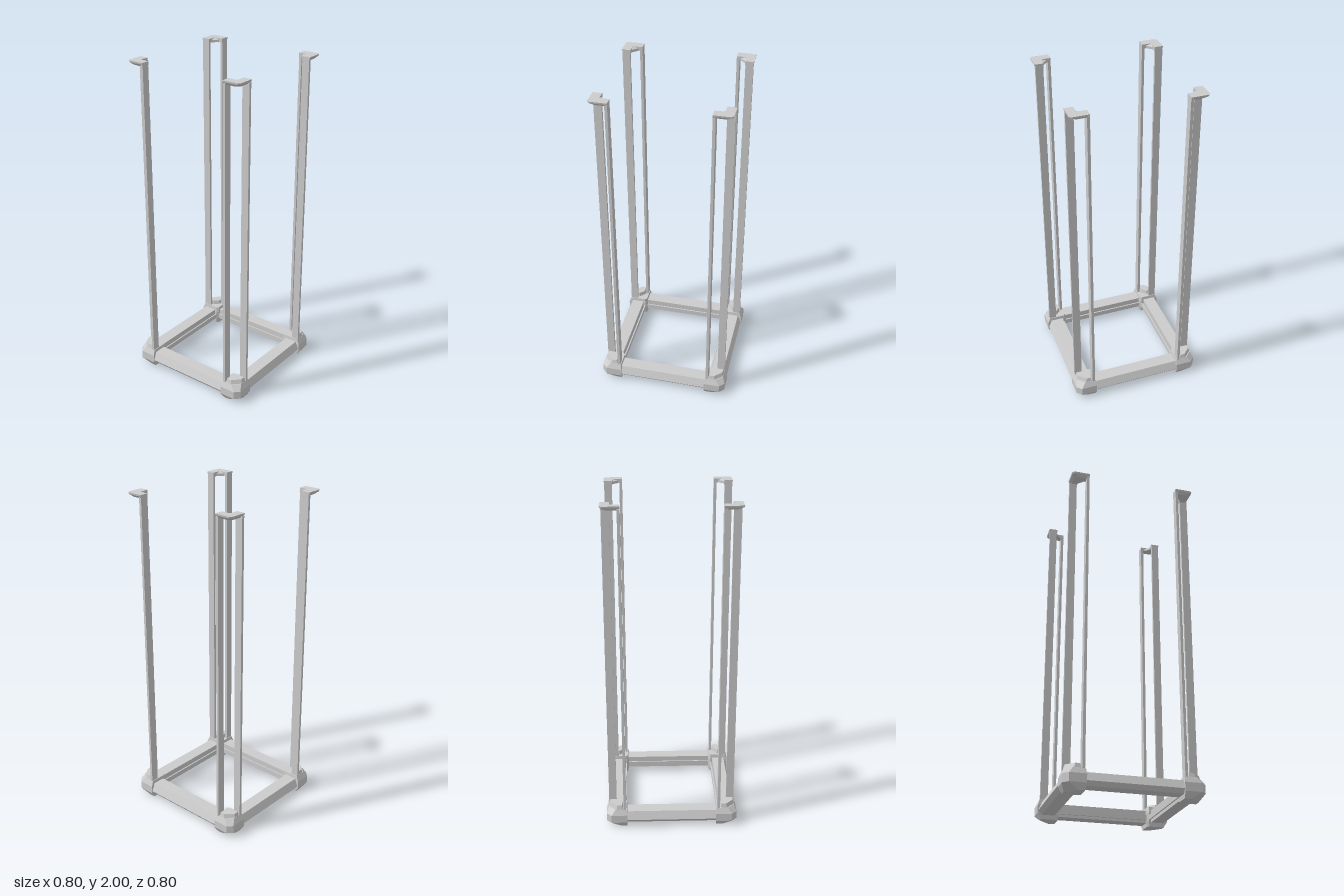
import * as THREE from 'three';

const material = new THREE.MeshStandardMaterial({ color: 0xcccccc, flatShading: true });

function part(name, geometry) {
  const mesh = new THREE.Mesh(geometry, material);
  mesh.name = name;
  return mesh;
}

// Joins stacked horizontal outlines ([x, z] points, equal counts) into a closed solid
function loft(layers) {
  const pos = [];
  const put = (y, [x, z]) => pos.push(x, y, z);
  for (let k = 0; k + 1 < layers.length; k++) {
    const [lo, hi] = [layers[k], layers[k + 1]];
    lo.points.forEach((a, i) => {
      const j = (i + 1) % lo.points.length;
      put(lo.y, a); put(hi.y, hi.points[i]); put(lo.y, lo.points[j]);
      put(lo.y, lo.points[j]); put(hi.y, hi.points[i]); put(hi.y, hi.points[j]);
    });
  }
  const [bottom, top] = [layers[0], layers[layers.length - 1]];
  for (const [layer, flip] of [[bottom, false], [top, true]]) {
    const contour = layer.points.map(([x, z]) => new THREE.Vector2(x, z));
    for (const tri of THREE.ShapeUtils.triangulateShape(contour, [])) {
      (flip ? [...tri].reverse() : tri).forEach((i) => put(layer.y, layer.points[i]));
    }
  }
  const geometry = new THREE.BufferGeometry();
  geometry.setAttribute('position', new THREE.Float32BufferAttribute(pos, 3));
  geometry.computeVertexNormals();
  return geometry;
}

// Square outline from inner edge i to outer edge o, outer corner cut by c, inner corner by d
const block = (y, i, o, c, d) => ({
  y,
  points: [[i + d, i], [o, i], [o, o - c], [o - c, o], [i, o], [i, i + d]],
});

// L outline: outer edge o with cut corner c, inner notch with chamfer n
const angle = (y, o, c, n) => ({
  y,
  points: [
    [o, 0.28], [o, o - c], [o - c, o], [0.28, o],
    [0.28, 0.337], [0.337 - n, 0.337], [0.337, 0.337 - n], [0.337, 0.28],
  ],
});

function box(name, x0, x1, y0, y1, z0, z1) {
  const g = new THREE.BoxGeometry(x1 - x0, y1 - y0, z1 - z0);
  g.translate((x0 + x1) / 2, (y0 + y1) / 2, (z0 + z1) / 2);
  return part(name, g);
}

// Base bar with a sloped outer face and an undercut, running along x
function barGeometry() {
  const shape = new THREE.Shape(
    [[0.298, 0.025], [0.375, 0.025], [0.396, 0.05], [0.375, 0.1], [0.298, 0.1]]
      .map(([z, y]) => new THREE.Vector2(z, y)));
  const g = new THREE.ExtrudeGeometry(shape, { depth: 0.6, bevelEnabled: false });
  g.translate(0, 0, -0.3);
  g.rotateY(-Math.PI / 2);
  return g;
}

export function createModel() {
  const model = new THREE.Group();
  model.name = 'openFrame';

  // Faceted corner foot, its raised collar and the overhanging top bracket
  const foot = loft([
    block(0, 0.276, 0.378, 0.065, 0.012),
    block(0.035, 0.272, 0.4, 0.03, 0.012),
    block(0.085, 0.272, 0.4, 0.03, 0.012),
    block(0.12, 0.276, 0.385, 0.04, 0.012),
  ]);
  const collar = loft([
    block(0.115, 0.3, 0.385, 0.045, 0.03),
    block(0.145, 0.305, 0.378, 0.045, 0.03),
  ]);
  const bracket = loft([
    angle(1.975, 0.373, 0.025, 0.032),
    angle(1.99, 0.388, 0.012, 0.032),
    angle(2, 0.39, 0.012, 0.002),
  ]);
  const bar = barGeometry();

  // One corner and one side, repeated by quarter turns
  for (let k = 0; k < 4; k++) {
    const side = new THREE.Group();
    side.name = 'frameSide' + (k + 1);
    side.rotation.y = k * Math.PI / 2;
    side.add(
      part('cornerFoot', foot),
      part('footCollar', collar),
      part('topBracket', bracket),
      part('baseBar', bar),
      box('innerRail', -0.28, 0.28, 0.04, 0.07, 0.284, 0.292),
      box('sidePost', 0.34, 0.386, 0.1, 1.985, 0.28, 0.296),
      box('frontPost', 0.28, 0.296, 0.1, 1.985, 0.34, 0.386),
    );
    model.add(side);
  }
  return model;
}
